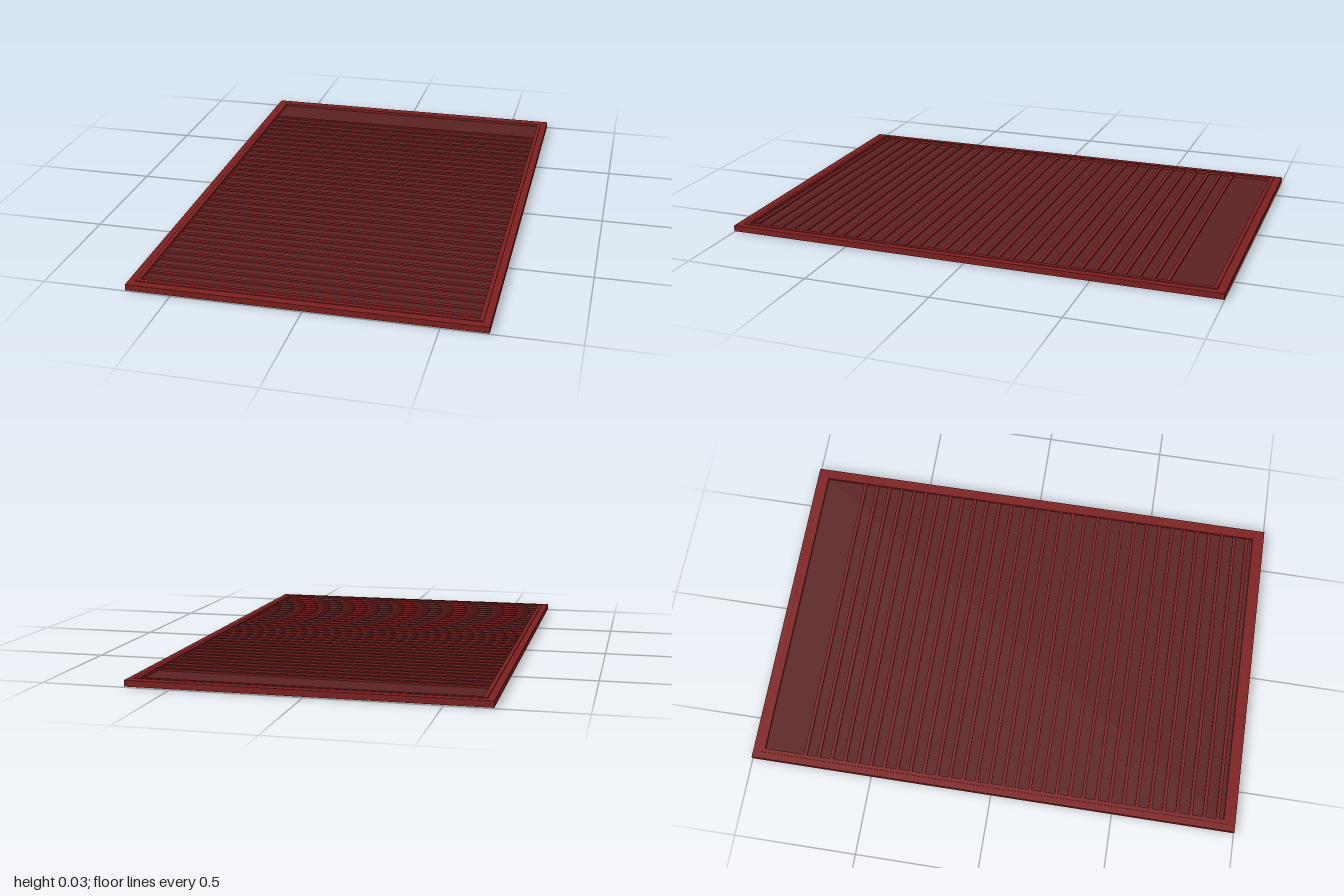
import * as THREE from 'three';

export function createModel() {
  const group = new THREE.Group();
  const red = new THREE.MeshStandardMaterial({ color: 0x7e2020 });
  red.name = 'painted red';
  const dark = new THREE.MeshStandardMaterial({ color: 0x5c2222 });
  dark.name = 'dark red';

  const midY = 0.015;

  // Rectangle path, used for both outlines and holes
  const rect = (target, x, z) => {
    target.moveTo(-x, -z);
    target.lineTo(x, -z);
    target.lineTo(x, z);
    target.lineTo(-x, z);
    target.closePath();
    return target;
  };

  // Flat rectangular ring centred on the shutter's mid plane
  const ring = (name, outerX, outerZ, innerX, innerZ, height) => {
    const shape = rect(new THREE.Shape(), outerX, outerZ);
    shape.holes.push(rect(new THREE.Path(), innerX, innerZ));
    const geo = new THREE.ExtrudeGeometry(shape, { depth: height, bevelEnabled: false });
    geo.rotateX(-Math.PI / 2).translate(0, midY - height / 2, 0);
    const mesh = new THREE.Mesh(geo, red);
    mesh.name = name;
    group.add(mesh);
  };

  // Outer frame with a slightly raised inner lip
  ring('frame', 0.675, 1, 0.645, 0.965, 0.024);
  ring('innerLip', 0.648, 0.968, 0.632, 0.952, 0.03);

  // Thin backing panel, plain at the back end
  const panel = new THREE.Mesh(new THREE.BoxGeometry(1.27, 0.008, 1.91), dark);
  panel.name = 'panel';
  panel.position.y = midY;
  group.add(panel);

  // Evenly spaced slats standing out on both faces
  const slats = new THREE.Group();
  slats.name = 'slats';
  const slatGeo = new THREE.BoxGeometry(1.27, 0.022, 0.014);
  const count = 32;
  for (let i = 0; i < count; i++) {
    const slat = new THREE.Mesh(slatGeo, red);
    slat.name = 'slat';
    slat.position.set(0, midY, -0.783 + (i * 1.711) / (count - 1));
    slats.add(slat);
  }
  group.add(slats);

  return group;
}
